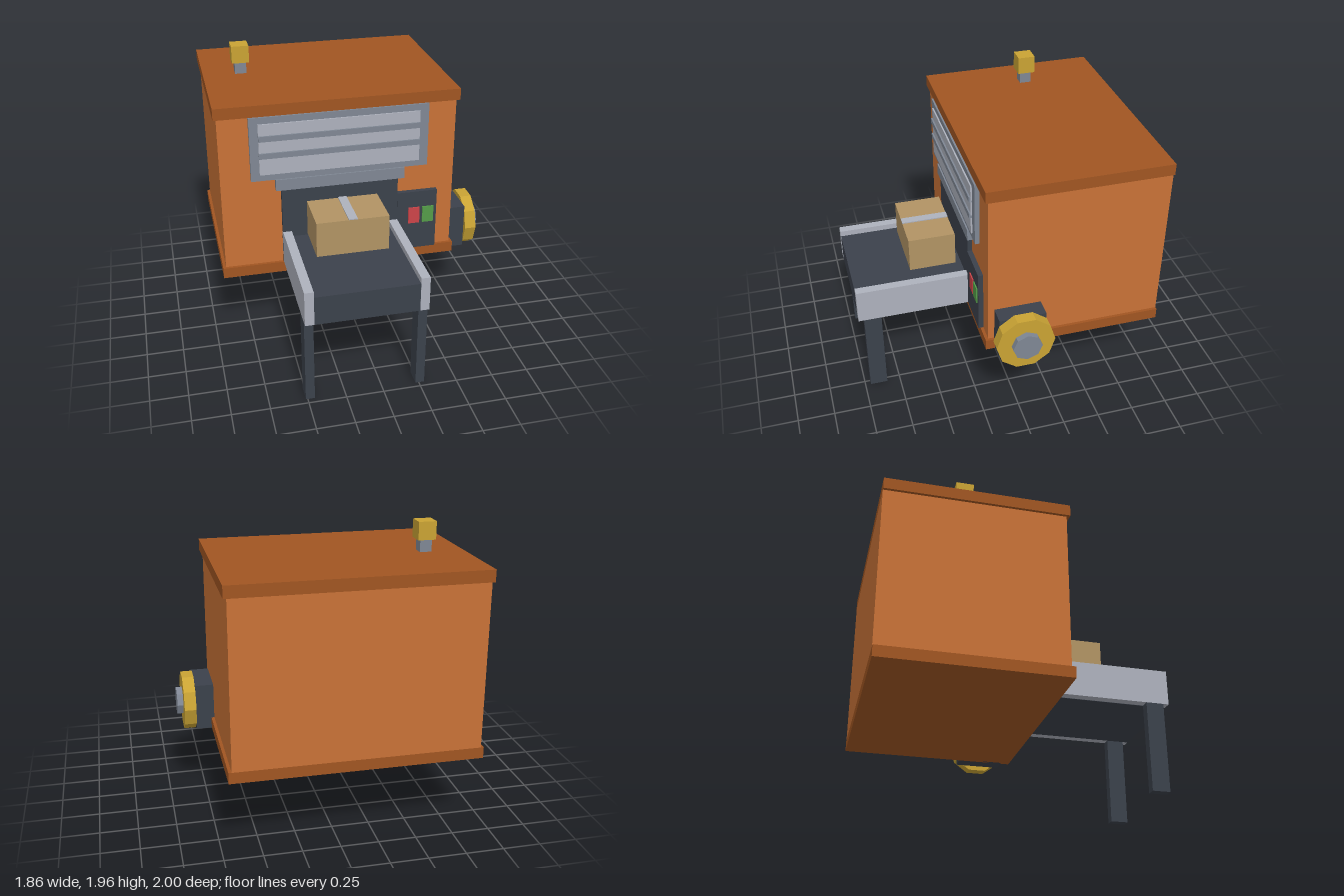
import * as THREE from 'three';

const mat = (name, color) => {
  const m = new THREE.MeshStandardMaterial({ color });
  m.name = name;
  return m;
};

export function createModel() {
  const orange = mat('orange paint', 0xc87237);
  const rust = mat('rust trim', 0xa05522);
  const dark = mat('dark metal', 0x3b414b);
  const steel = mat('steel', 0x7f8794);
  const silver = mat('light metal', 0xadb1bc);
  const gold = mat('gold', 0xc9a334);
  const cardboard = mat('cardboard', 0xb19364);
  const red = mat('red', 0xcc4448);
  const green = mat('green', 0x549c48);

  const model = new THREE.Group();
  model.name = 'packingMachine';

  // Box given by its extents along each axis
  const box = (name, material, [x0, x1], [y0, y1], [z0, z1], parent = model) => {
    const mesh = new THREE.Mesh(new THREE.BoxGeometry(x1 - x0, y1 - y0, z1 - z0), material);
    mesh.position.set((x0 + x1) / 2, (y0 + y1) / 2, (z0 + z1) / 2);
    mesh.name = name;
    parent.add(mesh);
    return mesh;
  };
  const group = (name) => {
    const g = new THREE.Group();
    g.name = name;
    model.add(g);
    return g;
  };

  // Housing between two overhanging trims
  const housing = group('housing');
  box('body', orange, [-0.91, 0.685], [0.6, 1.685], [-1, 0.2], housing);
  box('baseTrim', rust, [-0.93, 0.705], [0.525, 0.6], [-1, 0.22], housing);
  box('roof', rust, [-0.93, 0.705], [1.685, 1.763], [-1, 0.22], housing);

  // Shutter with two slats and a lip below it
  const shutter = group('shutter');
  box('shutterFrame', steel, [-0.71, 0.487], [1.24, 1.685], [0.2, 0.232], shutter);
  box('shutterPanel', silver, [-0.653, 0.425], [1.285, 1.64], [0.2, 0.242], shutter);
  for (const y of [1.422, 1.542])
    box('slat', steel, [-0.653, 0.425], [y - 0.019, y + 0.019], [0.23, 0.253], shutter);
  box('shutterLip', steel, [-0.55, 0.327], [1.16, 1.24], [0.2, 0.242], shutter);

  // Outlet and control panel
  box('outlet', dark, [-0.513, 0.285], [0.6, 1.16], [0.2, 0.23]);
  const controls = group('controls');
  box('controlPanel', dark, [0.285, 0.567], [0.6, 1.042], [0.2, 0.234], controls);
  box('stopButton', red, [0.365, 0.445], [0.802, 0.922], [0.234, 0.242], controls);
  box('startButton', green, [0.465, 0.545], [0.802, 0.922], [0.234, 0.242], controls);

  // Conveyor: belt, side rails and legs
  const conveyor = group('conveyor');
  box('belt', dark, [-0.453, 0.227], [0.6, 0.8], [0.2, 0.998], conveyor);
  for (const x of [-0.513, 0.227]) {
    box('rail', silver, [x, x + 0.06], [0.602, 0.84], [0.2, 1], conveyor);
    box('leg', dark, [x, x + 0.06], [0, 0.602], [0.843, 0.962], conveyor);
  }

  // Parcel with a strip of tape
  const parcel = group('parcel');
  box('carton', cardboard, [-0.354, 0.127], [0.84, 1.083], [0.28, 0.6], parcel);
  box('tape', silver, [-0.143, -0.084], [1.083, 1.09], [0.28, 0.6], parcel);

  // Side drive: mount, ten-sided wheel and eight-sided hub
  const drive = group('drive');
  box('driveMount', dark, [0.685, 0.807], [0.525, 0.84], [-0.158, 0.158], drive);
  const disc = (name, material, radius, sides, x0, x1) => {
    const geo = new THREE.CylinderGeometry(radius, radius, x1 - x0, sides).toNonIndexed();
    geo.rotateY(Math.PI / 2).rotateZ(-Math.PI / 2).rotateX(Math.PI / 2);
    geo.computeVertexNormals();
    const mesh = new THREE.Mesh(geo, material);
    mesh.position.set((x0 + x1) / 2, 0.682, 0);
    mesh.name = name;
    drive.add(mesh);
  };
  disc('wheel', gold, 0.198, 10, 0.807, 0.886);
  disc('hub', steel, 0.099, 8, 0.88, 0.926);

  // Roof lamp
  const lamp = group('lamp');
  box('lampStem', steel, [-0.71, -0.632], [1.76, 1.846], [-0.482, -0.404], lamp);
  box('lampHead', gold, [-0.73, -0.612], [1.844, 1.963], [-0.502, -0.384], lamp);

  return model;
}
